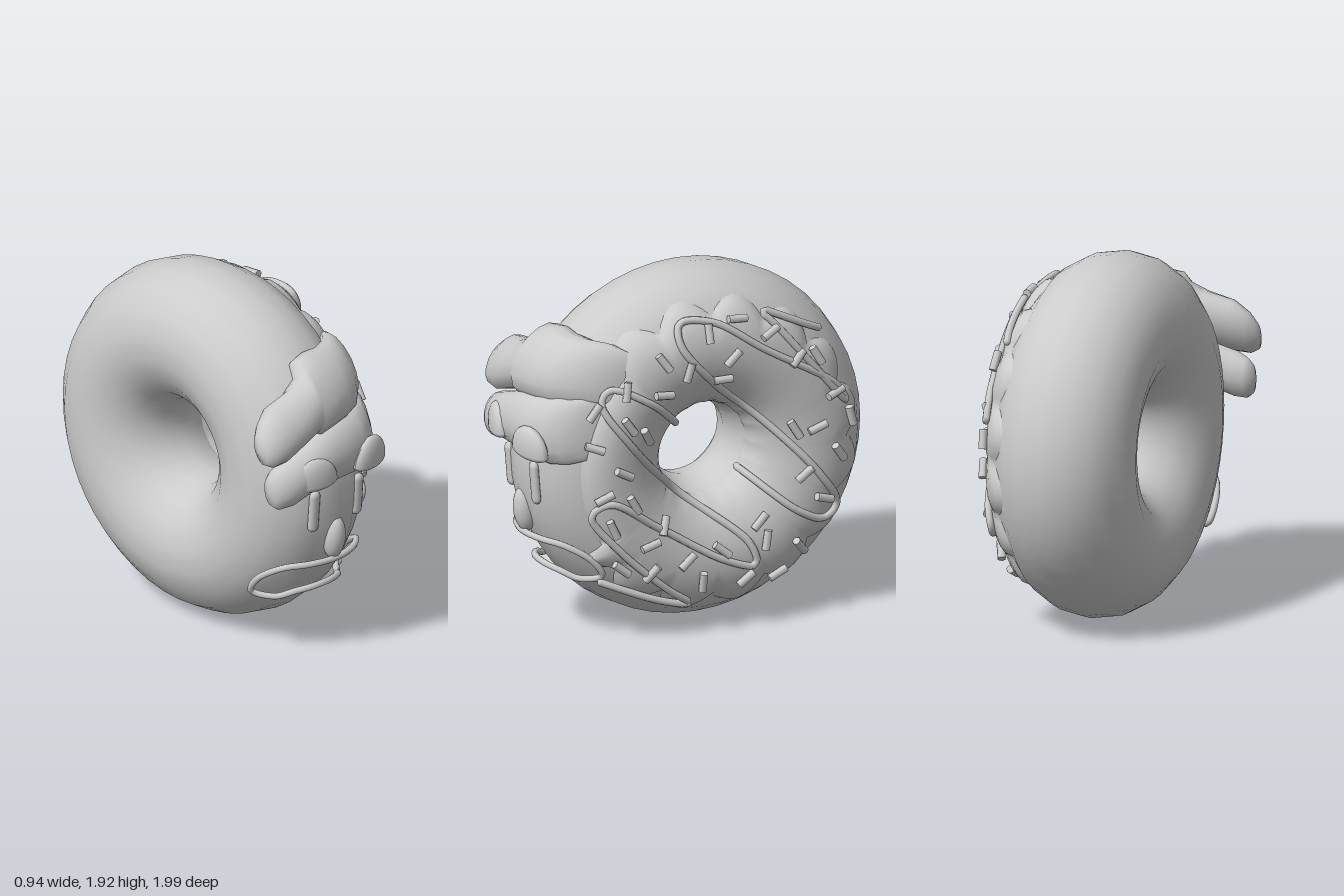
import * as THREE from 'three';
import { mergeVertices } from 'three/addons/utils/BufferGeometryUtils.js';

// Ring lies in the y-z plane, its axis along x
const CY = 0.97, CZ = -0.03, R = 0.5875, T = 0.3725, ICE = 0.045;
const TAU = Math.PI * 2;

const mat = new THREE.MeshStandardMaterial({ color: 0xcccccc });
const thinMat = new THREE.MeshStandardMaterial({ color: 0xcccccc, side: THREE.DoubleSide });

// Point from side position x, ring angle and distance from the ring axis
const polar = (x, ang, r) => new THREE.Vector3(x, CY + r * Math.sin(ang), CZ + r * Math.cos(ang));

// Point on the iced side of the ring, above (z, y)
function onIcing(z, y, lift) {
  const d = Math.hypot(y - CY, z - CZ) - R, t = T + ICE;
  return new THREE.Vector3(Math.sqrt(Math.max(0.01, t * t - d * d)) + lift, y, z);
}

// Point in front of the ring's outer face, at (x, y)
function onFace(x, y, lift) {
  const r = R + Math.sqrt(T * T - x * x) + lift;
  return new THREE.Vector3(x, y, CZ + Math.sqrt(r * r - (y - CY) ** 2));
}

// Smooth surface through a grid of points
function surface(fn, nu, nv) {
  const pos = [], idx = [];
  for (let i = 0; i <= nu; i++) {
    for (let j = 0; j <= nv; j++) {
      const p = fn(i, j);
      pos.push(p.x, p.y, p.z);
      if (i < nu && j < nv) {
        const a = i * (nv + 1) + j, b = a + 1, c = a + nv + 1, d = c + 1;
        idx.push(a, b, c, b, d, c);
      }
    }
  }
  let g = new THREE.BufferGeometry();
  g.setAttribute('position', new THREE.Float32BufferAttribute(pos, 3));
  g.setIndex(idx);
  g = mergeVertices(g, 1e-4);
  g.computeVertexNormals();
  return g;
}

// Icing with a scalloped outer edge, plain beside the face
function icingGeometry() {
  const nu = 144, nv = 14;
  return surface((i, j) => {
    const ang = ((i % nu) / nu) * TAU;
    const deg = ((ang * 180 / Math.PI + 180) % 360) - 180;
    const plain = deg > -34 && deg < 46;
    const edge = plain ? 0.755 : 0.785 + 0.085 * Math.abs(Math.sin(ang * 8));
    const phi0 = Math.acos((edge - R) / T), phi1 = 2.72;
    const v = j / nv;
    const phi = phi0 + (phi1 - phi0) * v;
    const t = T - 0.012 + (ICE + 0.012) * Math.min(1, Math.sqrt(Math.max(0, Math.sin(Math.PI * v))) * 1.25);
    return polar(t * Math.sin(phi), ang, R + t * Math.cos(phi));
  }, nu, nv);
}

// Fringe roll; sections are [x, angle in degrees, radius, half height, half depth]
function rollGeometry(sections) {
  const n = 16;
  return surface((i, j) => {
    const [x, deg, r, h, d] = sections[i];
    const a = deg * Math.PI / 180, v = -((j % n) / n) * TAU;
    const along = h * Math.sin(v);
    return polar(x, a, r + d * Math.cos(v))
      .add(new THREE.Vector3(0, along * Math.cos(a), -along * Math.sin(a)));
  }, sections.length - 1, n);
}

const upperRoll = [
  [-0.485, 23, 0.93, 0, 0], [-0.475, 23, 0.935, 0.08, 0.045], [-0.43, 24, 0.94, 0.125, 0.075],
  [-0.35, 26, 0.945, 0.155, 0.1], [-0.2, 28.5, 0.955, 0.145, 0.11], [-0.11, 31, 0.955, 0.155, 0.12],
  [-0.09, 33, 0.955, 0.205, 0.12], [0, 34, 0.95, 0.21, 0.125], [0.1, 34.5, 0.94, 0.2, 0.125],
  [0.2, 36, 0.9, 0.195, 0.125], [0.28, 39, 0.84, 0.19, 0.125], [0.34, 42, 0.76, 0.17, 0.11],
  [0.37, 44, 0.68, 0.13, 0.08], [0.37, 45, 0.62, 0, 0],
];
const lowerRoll = [
  [-0.445, 8, 0.9, 0, 0], [-0.435, 8, 0.9, 0.08, 0.045], [-0.4, 8, 0.905, 0.11, 0.07],
  [-0.33, 9, 0.915, 0.125, 0.09], [-0.2, 11.5, 0.925, 0.13, 0.1], [0, 14.5, 0.925, 0.165, 0.11],
  [0.15, 15, 0.91, 0.175, 0.11], [0.25, 16, 0.865, 0.185, 0.11], [0.32, 18, 0.79, 0.185, 0.1],
  [0.36, 20, 0.71, 0.16, 0.08], [0.37, 21, 0.64, 0, 0],
];

// Zigzag icing strokes as [z, y]
const strokes = [
  [[-0.64, 1.58], [-0.3, 1.74], [-0.37, 1.66], [-0.77, 1.18], [-0.71, 1.28], [-0.29, 1.55], [-0.01, 1.73],
    [0.17, 1.74], [0.18, 1.64], [-0.02, 1.39], [-0.34, 1.1], [-0.61, 0.8], [-0.72, 0.61], [-0.65, 0.55],
    [-0.5, 0.61], [-0.22, 0.84]],
  [[0.14, 1.15], [0.35, 1.34], [0.57, 1.44], [0.62, 1.37], [0.46, 1.12], [0.14, 0.78], [-0.21, 0.48],
    [-0.24, 0.36], [-0.07, 0.41], [0.3, 0.64], [0.59, 0.82], [0.68, 0.76], [0.51, 0.53], [0.25, 0.29],
    [0.11, 0.18], [0.25, 0.21], [0.59, 0.35]],
];

// Sprinkles as [z, y, angle in degrees]
const sprinkles = [
  [0.02, 1.68, 90], [-0.15, 1.73, -5], [0.28, 1.56, -55], [0.14, 1.49, 75], [0.28, 1.38, -8],
  [-0.11, 1.53, 45], [-0.06, 1.41, 0], [-0.33, 1.63, 25], [-0.48, 1.47, 45], [-0.6, 1.46, -60],
  [-0.7, 1.24, 15], [-0.59, 1.07, 20], [-0.47, 1.07, -60], [-0.8, 1.09, -75], [-0.72, 0.91, -55],
  [-0.52, 0.82, 40], [-0.63, 0.67, -20], [-0.27, 0.59, 45], [-0.3, 0.49, 80], [-0.5, 0.42, -50],
  [-0.38, 0.28, 25], [-0.19, 0.29, 40], [0.06, 0.31, 90], [0.15, 0.44, 40], [-0.05, 0.47, -40],
  [0.36, 0.56, 15], [0.27, 0.65, 70], [0.57, 0.68, -65], [0.62, 0.86, 25], [0.51, 0.98, -30],
  [0.67, 1.14, -20], [0.48, 1.24, -55], [0.37, 1.16, -60], [0.66, 1.33, 55], [0.49, 1.43, 80],
  [0.45, 0.8, -60], [0.51, 0.44, -40], [0.35, 0.4, 50],
];

export function createModel() {
  const model = new THREE.Group();
  const add = (name, geo, parent = model, material = mat) => {
    const m = new THREE.Mesh(geo, material);
    m.name = name;
    parent.add(m);
    return m;
  };

  // Dough ring
  const ring = add('doughRing', new THREE.TorusGeometry(R, T, 18, 48).rotateY(Math.PI / 2));
  ring.position.set(0, CY, CZ);

  // Icing and the two rolls that sweep over the forehead
  add('icing', icingGeometry(), model, thinMat);
  add('upperFringe', rollGeometry(upperRoll));
  add('lowerFringe', rollGeometry(lowerRoll));

  // Drizzle with rounded ends
  const drizzle = new THREE.Group();
  drizzle.name = 'drizzle';
  model.add(drizzle);
  for (const pts of strokes) {
    const flat = new THREE.CatmullRomCurve3(pts.map(([z, y]) => new THREE.Vector3(0, y, z)));
    const path = flat.getSpacedPoints(110).map((p) => onIcing(p.z, p.y, 0.008));
    add('drizzleStroke', new THREE.TubeGeometry(new THREE.CatmullRomCurve3(path), 220, 0.02, 8), drizzle);
    for (const end of [path[0], path[path.length - 1]]) {
      add('drizzleEnd', new THREE.SphereGeometry(0.02, 8, 6), drizzle).position.copy(end);
    }
  }

  // Sprinkles laid along the icing
  const sprinkleGroup = new THREE.Group();
  sprinkleGroup.name = 'sprinkles';
  model.add(sprinkleGroup);
  const grain = new THREE.CylinderGeometry(0.022, 0.022, 0.105, 8);
  const up = new THREE.Vector3(0, 1, 0);
  for (const [z, y, deg] of sprinkles) {
    const a = deg * Math.PI / 180, dz = -0.04 * Math.cos(a), dy = 0.04 * Math.sin(a);
    const dir = onIcing(z + dz, y + dy, 0).sub(onIcing(z - dz, y - dy, 0)).normalize();
    const m = add('sprinkle', grain, sprinkleGroup);
    m.position.copy(onIcing(z, y, 0.018));
    m.quaternion.setFromUnitVectors(up, dir);
  }

  // Brow: a flattened dome with a nearly flat underside
  const browGeo = new THREE.SphereGeometry(1, 20, 14);
  const bp = browGeo.attributes.position;
  for (let i = 0; i < bp.count; i++) if (bp.getY(i) < 0) bp.setY(i, bp.getY(i) * 0.3);
  browGeo.scale(0.135, 0.14, 0.055);
  browGeo.computeVertexNormals();

  // Brows and eyes on both sides
  for (const [side, s] of [['left', 1], ['right', -1]]) {
    const brow = add(side + 'Brow', browGeo);
    brow.position.set(s * 0.195, 1.095, 0.94);
    brow.rotation.set(0.1, s * 0.25, s * -0.08);
    const eye = add(side + 'Eye', new THREE.CapsuleGeometry(0.033, 0.175, 6, 12));
    eye.scale.z = 0.7;
    eye.position.set(s * 0.155, 0.9, 0.895);
    eye.rotation.x = 0.08;
  }

  // Nose
  const nose = add('nose', new THREE.SphereGeometry(1, 20, 14));
  nose.scale.set(0.06, 0.125, 0.06);
  nose.position.set(0, 0.7, 0.885);
  nose.rotation.x = 0.12;

  // Outlined moustache standing just off the face
  const half = [[0, 0.585], [0.15, 0.583], [0.26, 0.565], [0.315, 0.48], [0.305, 0.385], [0.22, 0.355], [0.15, 0.39], [0.06, 0.405]];
  const loop = [...half, ...half.slice(1).reverse().map(([x, y]) => [-x, y])];
  const lip = new THREE.CatmullRomCurve3(loop.map(([x, y]) => onFace(x, y, 0.045)), true);
  add('moustache', new THREE.TubeGeometry(lip, 100, 0.018, 8, true));

  return model;
}
